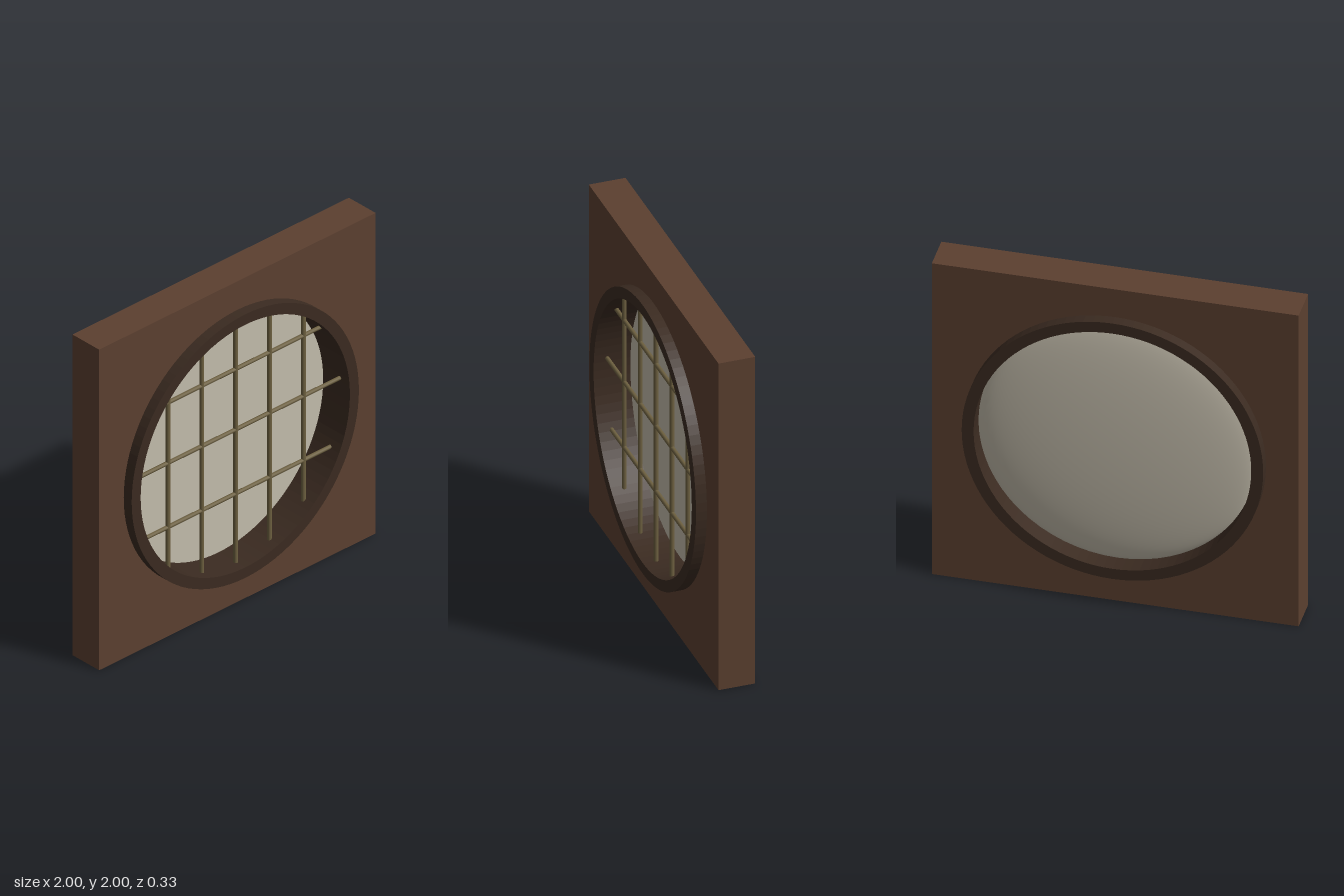
import * as THREE from 'three';

const CENTER_Y = 1, INNER = 0.757, OUTER = 0.822;

function mat(name, color, side = THREE.FrontSide) {
  const m = new THREE.MeshStandardMaterial({ color, side });
  m.name = name;
  return m;
}

function add(parent, name, geometry, material) {
  const mesh = new THREE.Mesh(geometry, material);
  mesh.name = name;
  parent.add(mesh);
  return mesh;
}

// Extrudes an outline with a round hole, centred on z = 0
function holedSlab(shape, holeRadius, depth) {
  const hole = new THREE.Path();
  hole.absarc(0, 0, holeRadius, 0, Math.PI * 2, true);
  shape.holes.push(hole);
  return new THREE.ExtrudeGeometry(shape, { depth, bevelEnabled: false, curveSegments: 48 })
    .translate(0, 0, -depth / 2);
}

export function createModel() {
  const wallWood = mat('wall wood', 0x5c4030);
  const ringWood = mat('dark ring wood', 0x3b2b21);
  const paper = mat('pale pane', 0xc4bdac);
  const bamboo = mat('lattice bamboo', 0x6d6040);

  const model = new THREE.Group();
  model.name = 'roundWindow';
  const body = new THREE.Group();
  body.name = 'windowBody';
  body.position.y = CENTER_Y;
  model.add(body);

  // Square wall panel with a round opening
  const square = new THREE.Shape([[-1, -1], [1, -1], [1, 1], [-1, 1]].map(p => new THREE.Vector2(...p)));
  add(body, 'wallPanel', holedSlab(square, OUTER - 0.02, 0.207), wallWood);

  // Round frame standing proud on both sides
  const circle = new THREE.Shape();
  circle.absarc(0, 0, OUTER, 0, Math.PI * 2, false);
  add(body, 'ringFrame', holedSlab(circle, INNER, 0.33), ringWood);

  // Pane: flat at the front, gently domed at the back
  const front = add(body, 'paneFront', new THREE.CircleGeometry(INNER + 0.004, 64), paper);
  front.position.z = -0.042;
  const dome = new THREE.SphereGeometry(INNER + 0.004, 64, 20, 0, Math.PI * 2, 0, Math.PI / 2)
    .rotateX(-Math.PI / 2).scale(1, 1, 0.1);
  add(body, 'paneBack', dome, paper).position.z = -0.05;

  // Lattice bars, each cut to the chord of the opening
  const lattice = new THREE.Group();
  lattice.name = 'lattice';
  lattice.position.z = 0.09;
  body.add(lattice);
  const bar = (offset, radius) =>
    new THREE.CylinderGeometry(radius, radius, 2 * Math.sqrt(INNER ** 2 - offset ** 2) + 0.01, 10);
  for (let i = -2; i <= 2; i++) {
    const x = i * 0.245;
    add(lattice, 'verticalBar', bar(x, 0.013), bamboo).position.x = x;
  }
  for (const y of [-0.33, 0.07, 0.447]) {
    add(lattice, 'horizontalBar', bar(y, 0.012).rotateZ(Math.PI / 2), bamboo).position.y = y;
  }
  return model;
}
